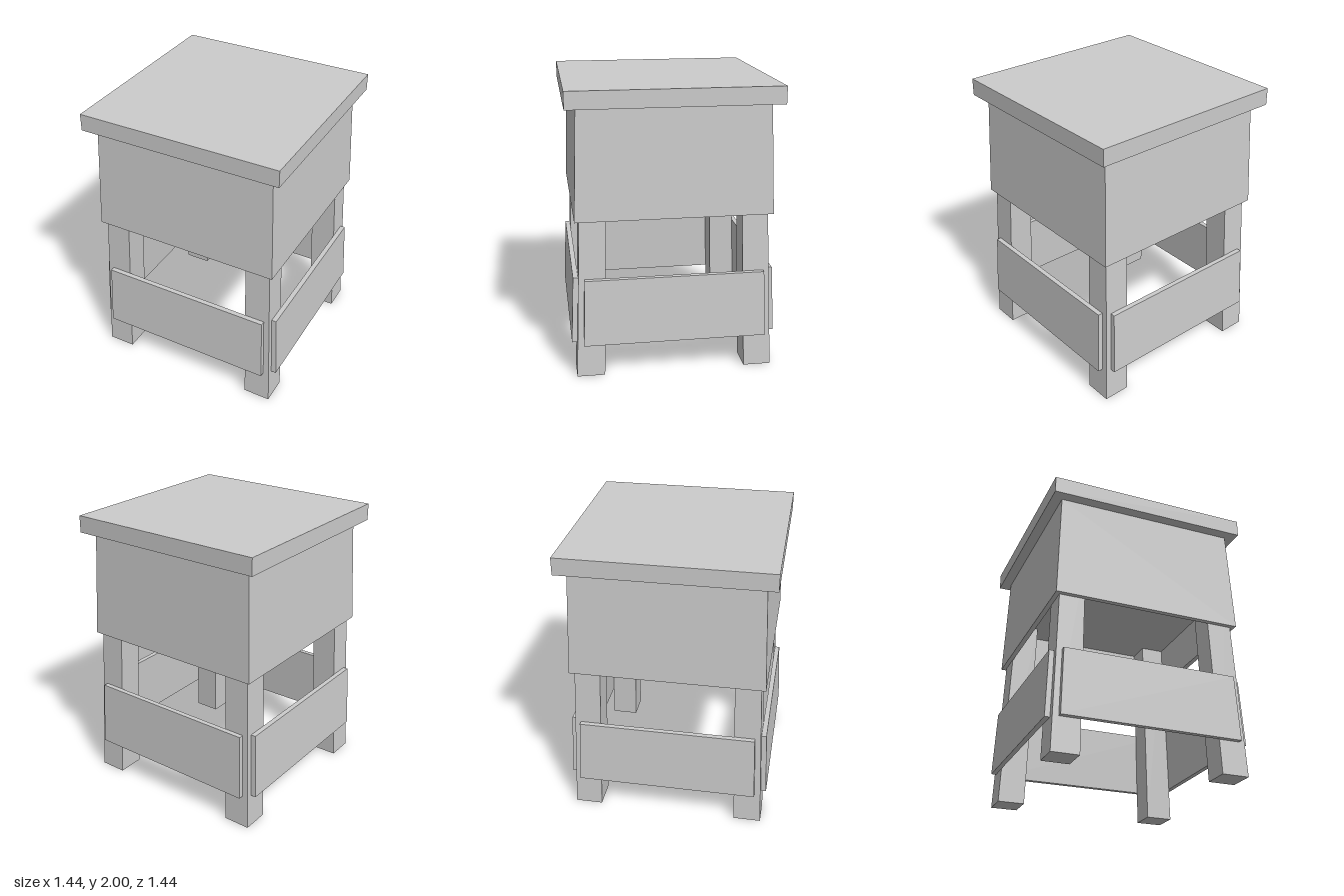
import * as THREE from 'three';

const material = new THREE.MeshStandardMaterial({ color: 0xcccccc, flatShading: true });

function addMesh(parent, name, geometry) {
  const mesh = new THREE.Mesh(geometry, material);
  mesh.name = name;
  parent.add(mesh);
  return mesh;
}

// Tapered block: a box whose x and z ranges differ between bottom and top
function taperedBlock(y0, y1, bottom, top) {
  const g = new THREE.BoxGeometry(1, 1, 1);
  const p = g.attributes.position;
  for (let i = 0; i < p.count; i++) {
    const up = p.getY(i) > 0;
    const [xMin, xMax, zMin, zMax] = up ? top : bottom;
    p.setXYZ(i, p.getX(i) > 0 ? xMax : xMin, up ? y1 : y0, p.getZ(i) > 0 ? zMax : zMin);
  }
  g.computeVertexNormals();
  return g;
}

// Hollow square frame that narrows towards the top
function taperedFrame(y0, y1, half0, half1, wall) {
  const square = (Type, h) => new Type([[-h, -h], [h, -h], [h, h], [-h, h]].map(([x, y]) => new THREE.Vector2(x, y)));
  const shape = square(THREE.Shape, half0);
  shape.holes.push(square(THREE.Path, half0 - wall));
  const g = new THREE.ExtrudeGeometry(shape, { depth: y1 - y0, bevelEnabled: false });
  g.rotateX(-Math.PI / 2);
  const p = g.attributes.position;
  for (let i = 0; i < p.count; i++) {
    const y = p.getY(i);
    const s = 1 + (half1 / half0 - 1) * y / (y1 - y0);
    p.setXYZ(i, p.getX(i) * s, y + y0, p.getZ(i) * s);
  }
  g.computeVertexNormals();
  return g;
}

export function createModel() {
  const model = new THREE.Group();
  model.name = 'stool';

  // Flat square top
  addMesh(model, 'top', new THREE.BoxGeometry(1.444, 0.12, 1.444)).position.y = 1.94;

  // Deep apron with a recessed panel inside
  addMesh(model, 'apron', taperedFrame(1.12, 1.88, 0.677, 0.648, 0.036));
  addMesh(model, 'innerPanel', new THREE.BoxGeometry(1.26, 0.04, 1.26)).position.y = 1.44;

  // Four splayed legs and four rails, one of each per quarter turn
  const leg = taperedBlock(0, 1.43, [0.495, 0.688, 0.495, 0.688], [0.457, 0.633, 0.457, 0.633]);
  const rail = taperedBlock(0.24, 0.71, [-0.637, 0.637, 0.68, 0.716], [-0.62, 0.62, 0.66, 0.695]);
  for (let i = 0; i < 4; i++) {
    const angle = i * Math.PI / 2;
    addMesh(model, 'leg', leg).rotation.y = angle;
    addMesh(model, 'rail', rail).rotation.y = angle;
  }
  return model;
}
